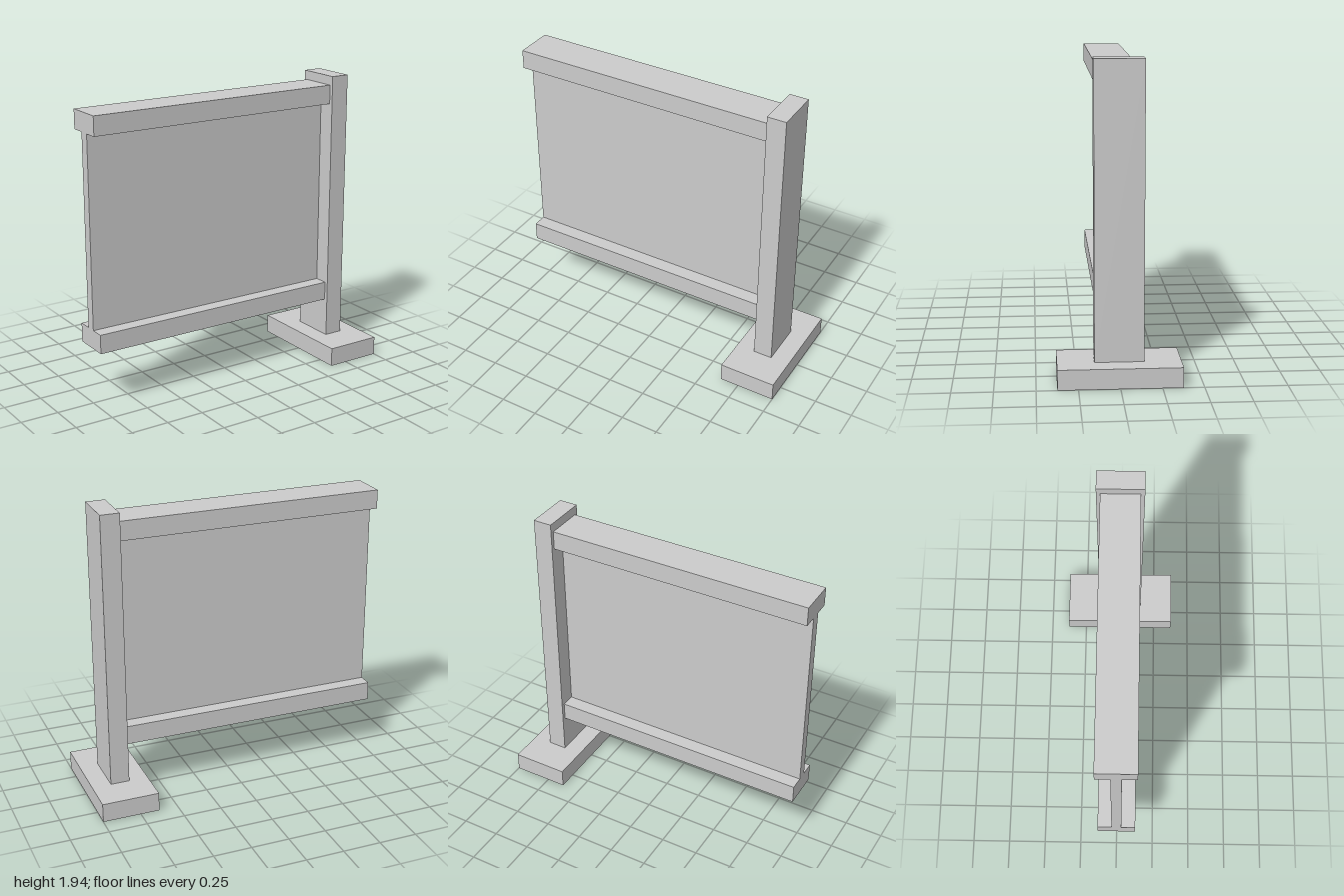
import * as THREE from 'three';

export function createModel() {
  const model = new THREE.Group();
  const material = new THREE.MeshStandardMaterial({ color: 0xcccccc, flatShading: true });

  // Box given by its x and y extents and its depth, centred on z = 0
  function addBox(name, x0, x1, y0, y1, depth) {
    const mesh = new THREE.Mesh(new THREE.BoxGeometry(x1 - x0, y1 - y0, depth), material);
    mesh.name = name;
    mesh.position.set((x0 + x1) / 2, (y0 + y1) / 2, 0);
    model.add(mesh);
  }

  // Single post standing on its foot
  addBox('foot', 0.625, 1, 0, 0.125, 0.75);
  addBox('post', 0.75, 0.875, 0.125, 1.94, 0.3);

  // Thin panel held between two rails, reaching out from the post
  addBox('bottomRail', -1, 0.75, 0.38, 0.505, 0.25);
  addBox('panel', -1, 0.75, 0.505, 1.755, 0.065);
  addBox('topRail', -1, 0.75, 1.755, 1.88, 0.25);

  return model;
}
